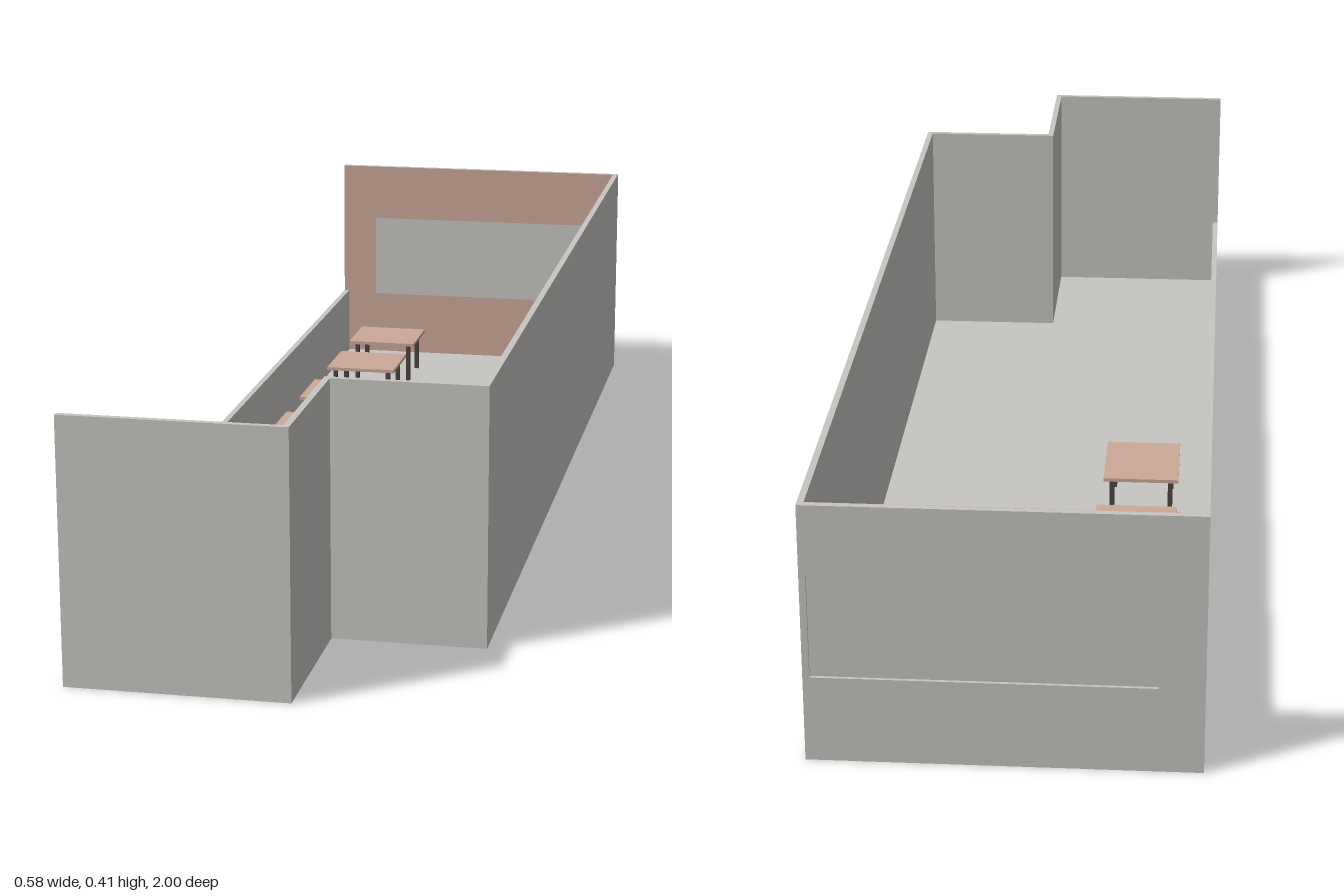
import * as THREE from 'three';

const H = 0.41, LOW = 0.14, T = 0.01;

export function createModel() {
  const model = new THREE.Group();
  model.name = 'diningRoom';

  const plaster = new THREE.MeshStandardMaterial({ name: 'greyPlaster', color: 0xc8c6c2 });
  const wood = new THREE.MeshStandardMaterial({ name: 'pinkWood', color: 0xcba898 });
  const metal = new THREE.MeshStandardMaterial({ name: 'darkLegs', color: 0x4c4542 });

  const add = (parent, name, geometry, material, x = 0, y = 0, z = 0) => {
    const mesh = new THREE.Mesh(geometry, material);
    mesh.name = name;
    mesh.position.set(x, y, z);
    parent.add(mesh);
    return mesh;
  };

  // Raise a floor-plan outline given as [x, z] pairs
  const raise = (plan, height) => {
    const shape = new THREE.Shape(plan.map(([x, z]) => new THREE.Vector2(x, -z)));
    return new THREE.ExtrudeGeometry(shape, { depth: height, bevelEnabled: false }).rotateX(-Math.PI / 2);
  };

  // Floor with the notched corner
  add(model, 'floor', raise([
    [-0.29, -0.99], [-0.29, 1], [0.05, 1], [0.05, 0.73], [0.29, 0.73], [0.29, -0.99],
  ], T), plaster);

  // Full-height wall along the left side, round the notch and across the front
  add(model, 'tallWalls', raise([
    [0.29, -0.99], [0.29, 0.73], [0.05, 0.73], [0.05, 1], [-0.29, 1],
    [-0.29, 0.99], [0.04, 0.99], [0.04, 0.72], [0.28, 0.72], [0.28, -0.99],
  ], H), plaster);

  // Low wall along the open side
  add(model, 'lowWall', new THREE.BoxGeometry(T, LOW, 1.98), plaster, -0.285, LOW / 2, 0);

  // Back wall with a window opening
  const win = { x0: -0.222, x1: 0.28, y0: 0.136, y1: 0.3 };
  const wallShape = (x0, x1, y0) => {
    const rect = (a, b, c, d) => [[a, c], [b, c], [b, d], [a, d]].map(p => new THREE.Vector2(...p));
    const shape = new THREE.Shape(rect(x0, x1, y0, H));
    shape.holes.push(new THREE.Path(rect(win.x0, win.x1, win.y0, win.y1).reverse()));
    return shape;
  };
  add(model, 'backWall', new THREE.ExtrudeGeometry(wallShape(-0.29, 0.29, 0),
    { depth: T, bevelEnabled: false }), plaster, 0, 0, -1);
  add(model, 'backWallLining', new THREE.ExtrudeGeometry(wallShape(-0.29, 0.285, T),
    { depth: 0.001, bevelEnabled: false }), wood, 0, 0, -0.99);
  add(model, 'windowPane', new THREE.BoxGeometry(win.x1 - win.x0, win.y1 - win.y0, 0.006), plaster,
    (win.x0 + win.x1) / 2, (win.y0 + win.y1) / 2, -0.992);

  // Row of tables: centre x, centre z, width, depth
  const top = 0.09, thick = 0.006, leg = 0.008, inset = 0.014;
  const tables = [
    [-0.162, -0.809, 0.134, 0.128],
    [-0.162, -0.595, 0.134, 0.132],
    [-0.166, -0.367, 0.134, 0.134],
    [-0.17, -0.118, 0.128, 0.154],
  ];
  for (const [x, z, w, d] of tables) {
    const table = new THREE.Group();
    table.name = 'table';
    table.position.set(x, 0, z);
    model.add(table);
    add(table, 'tableTop', new THREE.BoxGeometry(w, thick, d), wood, 0, top - thick / 2, 0);
    const legHeight = top - thick - T;
    for (const sx of [-1, 1]) for (const sz of [-1, 1]) {
      add(table, 'tableLeg', new THREE.BoxGeometry(leg, legHeight, leg), metal,
        sx * (w / 2 - inset), T + legHeight / 2, sz * (d / 2 - inset));
    }
  }
  return model;
}
